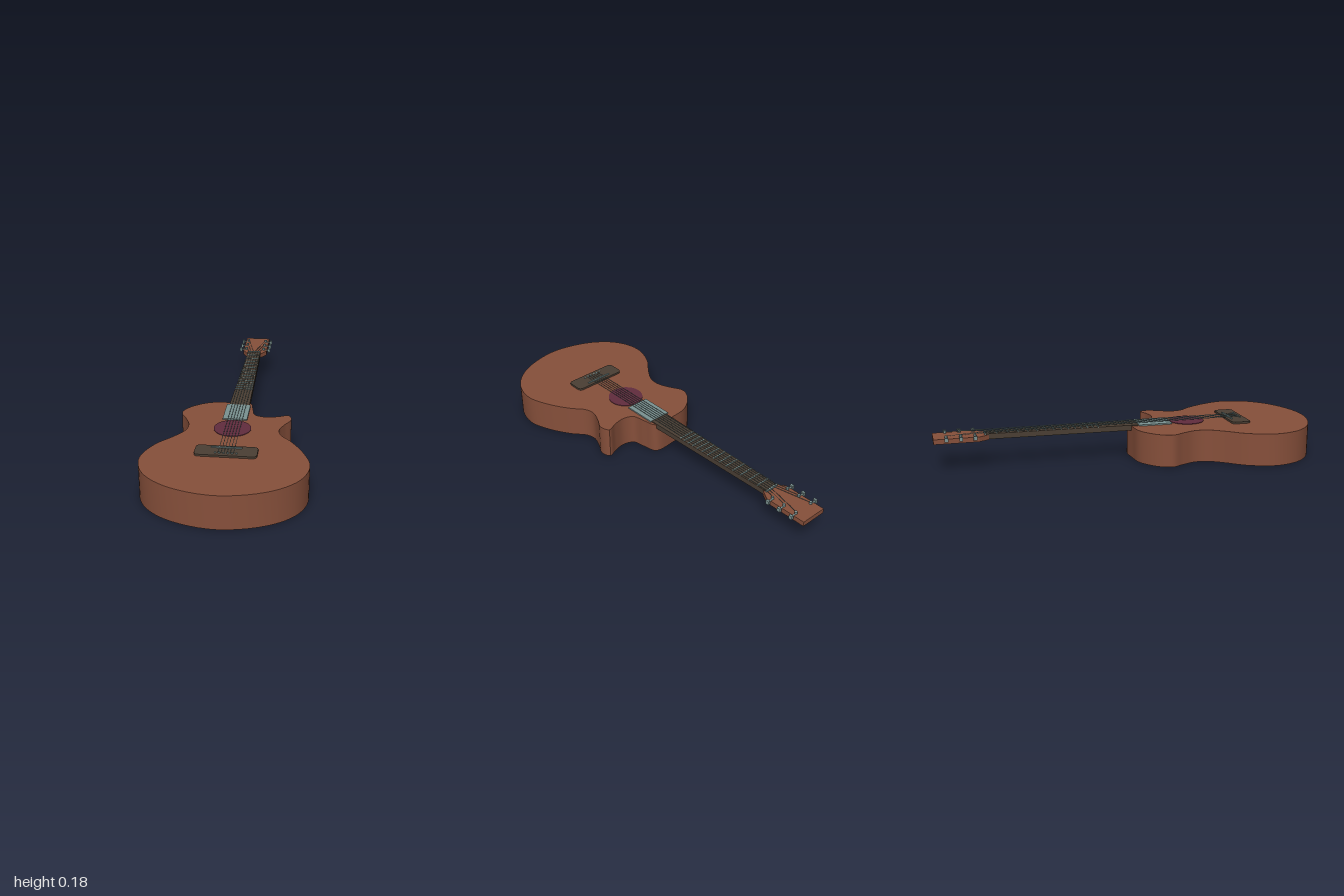
import * as THREE from 'three';
import { toCreasedNormals } from 'three/addons/utils/BufferGeometryUtils.js';

const material = (name, color) => {
  const m = new THREE.MeshStandardMaterial({ color });
  m.name = name;
  return m;
};

export function createModel() {
  const wood = material('red brown wood', 0x87503b);
  const dark = material('dark wood', 0x4b3f34);
  const metal = material('grey metal', 0x7b9291);
  const hole = material('dark burgundy', 0x622c3e);
  const guitar = new THREE.Group();
  guitar.name = 'guitar';

  const add = (name, geometry, mat, x = 0, y = 0, z = 0) => {
    const mesh = new THREE.Mesh(geometry, mat);
    mesh.name = name;
    mesh.position.set(x, y, z);
    guitar.add(mesh);
    return mesh;
  };
  // Plan outline (x, z) raised from y0 to y1
  const slab = (name, points, y0, y1, mat) => {
    const shape = new THREE.Shape(points.map(([x, z]) => new THREE.Vector2(x, -z)));
    const geometry = new THREE.ExtrudeGeometry(shape, { depth: y1 - y0, bevelEnabled: false });
    geometry.rotateX(-Math.PI / 2);
    return add(name, toCreasedNormals(geometry, 0.5), mat, 0, y0, 0);
  };
  const box = (name, w, h, d, mat, x, y, z) => add(name, new THREE.BoxGeometry(w, h, d), mat, x, y, z);
  // Thin round rod between two points
  const rod = (name, a, b, r, mat, sides = 6) => {
    const from = new THREE.Vector3(...a), to = new THREE.Vector3(...b);
    const mesh = add(name, new THREE.CylinderGeometry(r, r, from.distanceTo(to), sides), mat);
    mesh.position.copy(from).lerp(to, 0.5);
    mesh.quaternion.setFromUnitVectors(new THREE.Vector3(0, 1, 0), to.sub(from).normalize());
    return mesh;
  };

  // Body with a waist and a cutaway on one shoulder
  const outline = [
    [-0.07, 0.018], [-0.15, 0.028], [-0.215, 0.065], [-0.265, 0.12], [-0.281, 0.175],
    [-0.25, 0.24], [-0.225, 0.305], [-0.227, 0.37], [-0.27, 0.445], [-0.35, 0.55],
    [-0.392, 0.69], [-0.35, 0.83], [-0.225, 0.94], [0, 0.998], [0.225, 0.94],
    [0.35, 0.83], [0.392, 0.69], [0.36, 0.57], [0.29, 0.445], [0.24, 0.385],
    [0.226, 0.33], [0.25, 0.26], [0.279, 0.2], [0.262, 0.15], [0.205, 0.17],
    [0.14, 0.18], [0.09, 0.158], [0.074, 0.09], [0.053, 0.02],
  ];
  const curve = new THREE.CatmullRomCurve3(
    outline.map(([x, z]) => new THREE.Vector3(x, 0, z)), true);
  const smooth = curve.getPoints(160).slice(0, -1).map((p) => [p.x, p.z]);
  slab('body', smooth, 0, 0.168, wood);

  // Neck and head
  const halfWidth = (z) => 0.037 + (z + 0.74) * 0.019;
  slab('neck', [[-0.037, -0.74], [0.037, -0.74], [0.052, 0.055], [-0.052, 0.055]], 0.145, 0.173, dark);
  slab('head', [[-0.07, -1], [0.07, -1], [0.07, -0.775], [0.04, -0.725], [-0.04, -0.725], [-0.07, -0.775]],
    0.143, 0.168, wood);
  box('nut', 0.076, 0.008, 0.008, metal, 0, 0.173, -0.742);

  // Frets, closer together towards the body
  for (let i = 1; i <= 14; i++) {
    const z = -0.742 + 1.05 * (1 - Math.pow(2, -i / 12));
    box('fret', halfWidth(z) * 2, 0.003, 0.006, metal, 0, 0.174, z);
  }

  // Metal plate, sound hole and bridge
  box('plate', 0.123, 0.007, 0.18, metal, -0.003, 0.1715, 0.145);
  add('soundHole', new THREE.CylinderGeometry(0.092, 0.092, 0.003, 48), hole, -0.003, 0.1695, 0.333);
  const l = -0.148, r = 0.146, t = 0.545, b = 0.646, c = 0.02;
  const corners = [[r - c, t + c, -90], [r - c, b - c, 0], [l + c, b - c, 90], [l + c, t + c, 180]];
  const bridge = corners.flatMap(([x, z, start]) => [0, 1, 2, 3, 4].map((k) => {
    const a = (start + k * 22.5) * Math.PI / 180;
    return [x + c * Math.cos(a), z + c * Math.sin(a)];
  }));
  slab('bridge', bridge, 0.166, 0.178, dark);
  box('saddle', 0.146, 0.006, 0.008, metal, -0.002, 0.18, 0.567);

  // Strings with their bridge pins, tuning posts and keys
  const tunerZ = [-0.795, -0.865, -0.937];
  for (let i = 0; i < 6; i++) {
    const side = i < 3 ? -1 : 1;
    const tz = tunerZ[i < 3 ? i : 5 - i];
    const x = (i - 2.5) * 0.0145;
    const pinX = (i - 2.5) * 0.02;
    add('bridgePin', new THREE.CylinderGeometry(0.005, 0.005, 0.006, 10), metal, pinX, 0.179, 0.622);
    rod('string', [x, 0.181, 0.622], [x, 0.18, -0.742], 0.0013, metal);
    rod('stringEnd', [x, 0.18, -0.742], [side * 0.05, 0.178, tz], 0.0013, metal);
    add('tuningPost', new THREE.CylinderGeometry(0.007, 0.007, 0.018, 10), metal, side * 0.052, 0.172, tz);
    rod('tunerShaft', [side * 0.05, 0.166, tz], [side * 0.084, 0.166, tz], 0.005, metal, 8);
    box('tunerKey', 0.012, 0.02, 0.018, metal, side * 0.085, 0.167, tz);
  }
  return guitar;
}
